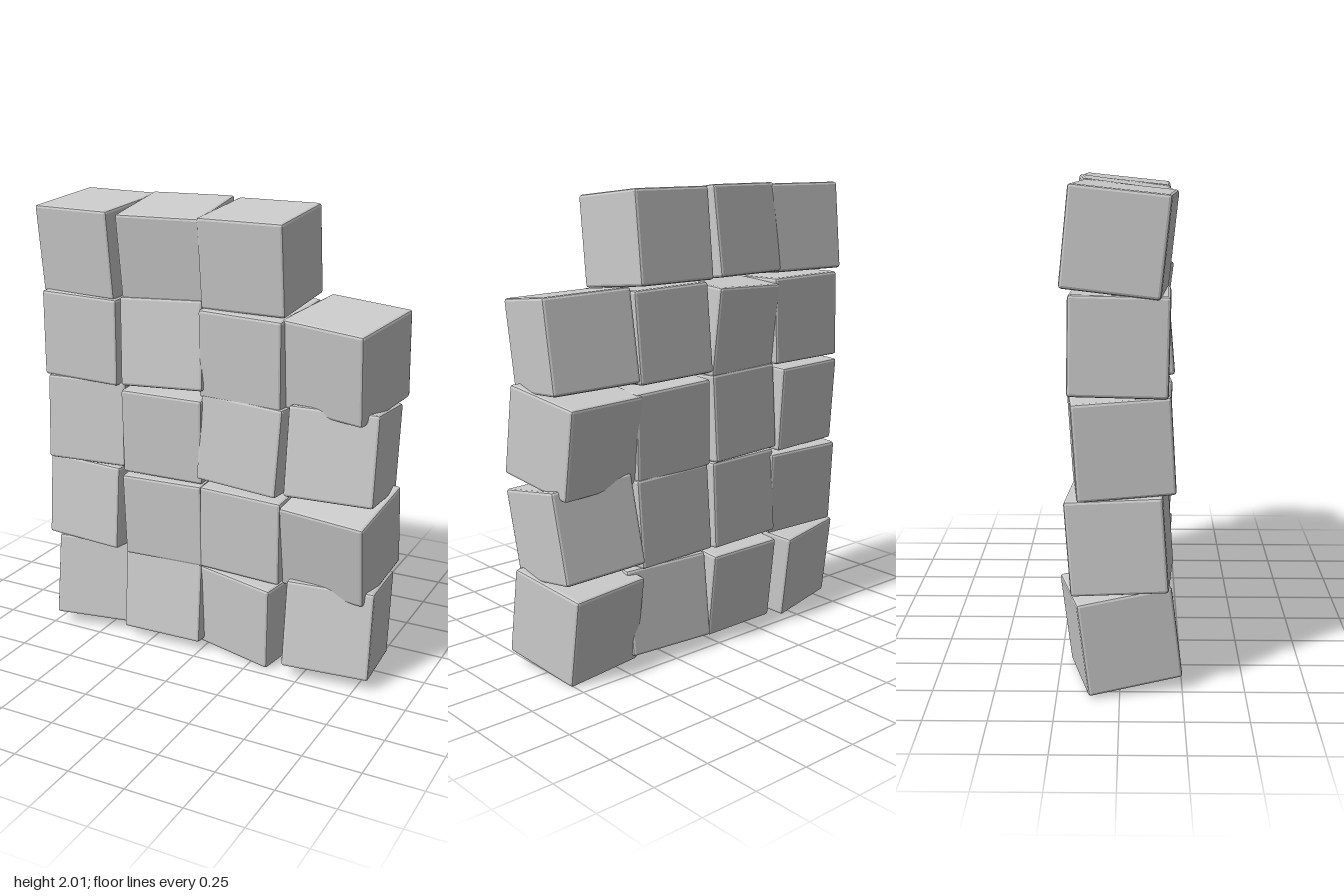
import * as THREE from 'three';
import { RoundedBoxGeometry } from 'three/addons/geometries/RoundedBoxGeometry.js';

const SIZE = 0.387;
const PITCH = 0.393;

// Tilt of every block in degrees [x, y, z]; rows run bottom to top, columns from -x to +x
const TILTS = [
  [[-7, 13, 0], [-6, 1, 0.5], [3, -11, -2.5], [-8, 7, 0.5]],
  [[-4, -4, -1], [3, 3, 0], [3, -1, -1.5], [11, -4.5, -2]],
  [[-3.5, 5, 0.5], [3, 3, -1], [-3, -3, -3], [-8, 5, 0.5]],
  [[1, -1.5, -1], [-5, 4, 2.5], [4, -2, -1.5], [7, -10.5, -1.5]],
  [[6, -5.5, 0.5], [8, 4.5, -0.5], [6, -1, 0]],
];

export function createModel() {
  const wall = new THREE.Group();
  wall.name = 'blockWall';

  // One bevelled block shared by the whole wall
  const block = new RoundedBoxGeometry(SIZE, SIZE, SIZE, 1, 0.012);
  const material = new THREE.MeshStandardMaterial({ color: 0xcccccc, flatShading: true });

  TILTS.forEach((row, r) => {
    const course = new THREE.Group();
    course.name = `course${r + 1}`;
    course.position.y = 0.216 + r * PITCH;

    // Loosely laid blocks, the top course is one short
    row.forEach((tilt, c) => {
      const mesh = new THREE.Mesh(block, material);
      mesh.name = `block${r + 1}_${c + 1}`;
      mesh.position.x = (c - 1.5) * PITCH + 0.003;
      mesh.rotation.set(...tilt.map(THREE.MathUtils.degToRad));
      course.add(mesh);
    });
    wall.add(course);
  });
  return wall;
}
